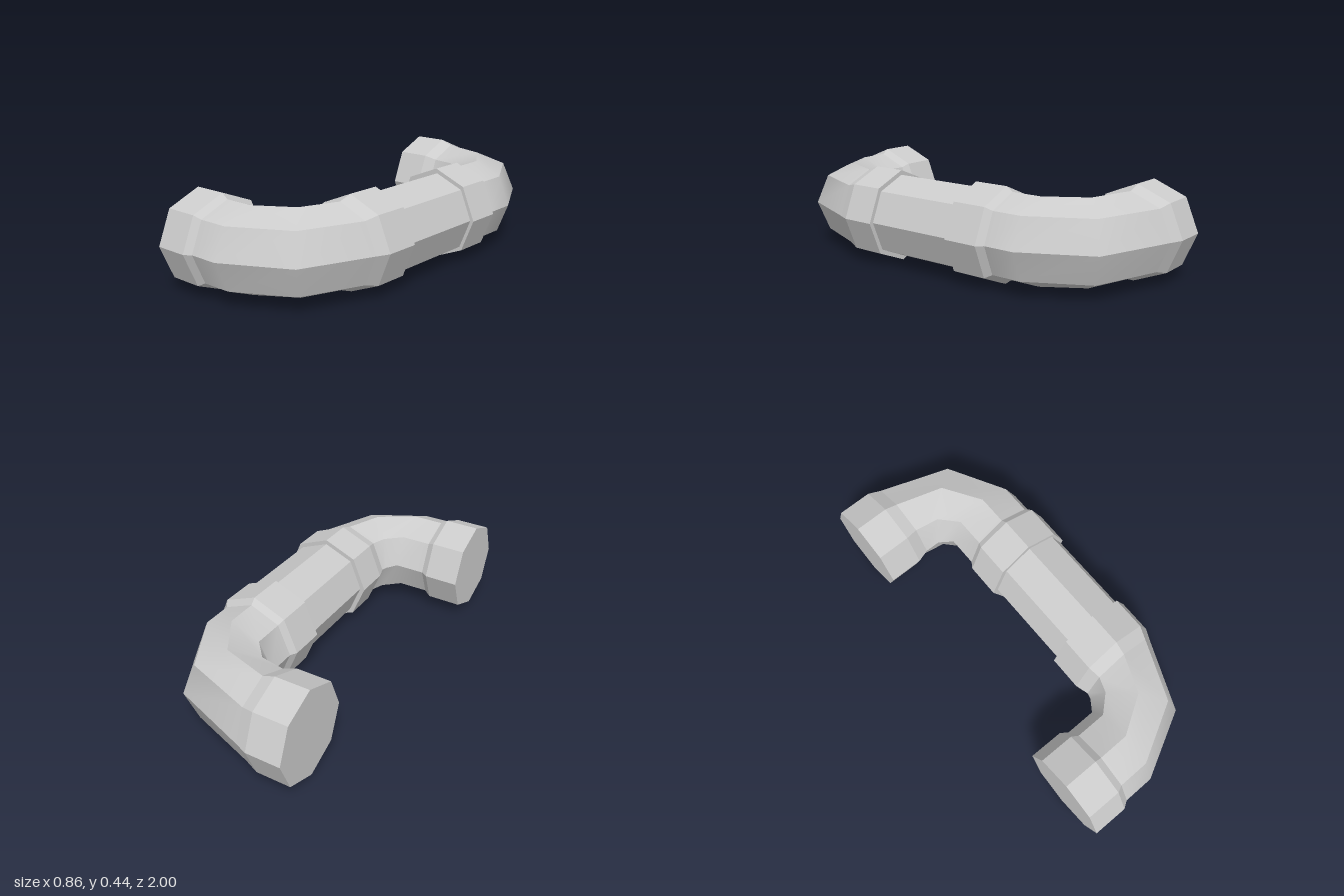
import * as THREE from 'three';
import { mergeGeometries } from 'three/addons/utils/BufferGeometryUtils.js';

const SIDES = 8, MID_Y = 0.2225;
const COLLAR = 0.2225, PIPE = 0.2;

// One octagonal ring: centre x and z, heading in degrees, radius
function ringPoints([x, z, heading, r]) {
  const h = THREE.MathUtils.degToRad(heading);
  return Array.from({ length: SIDES }, (_, k) => {
    const a = (k / SIDES) * Math.PI * 2, out = r * Math.cos(a);
    return [x + out * Math.sin(h), MID_Y + r * Math.sin(a), z + out * Math.cos(h)];
  });
}

function makeGeometry(pos, index) {
  const g = new THREE.BufferGeometry();
  g.setAttribute('position', new THREE.Float32BufferAttribute(pos.flat(), 3));
  g.setIndex(index);
  g.computeVertexNormals();
  return g;
}

// Skin through rings: smooth along the length, sharp between the sides
function skin(rings) {
  const loops = rings.map(ringPoints), pos = [], index = [];
  for (let k = 0; k < SIDES; k++) {
    const base = pos.length;
    loops.forEach((l) => pos.push(l[k], l[(k + 1) % SIDES]));
    for (let i = 0; i < loops.length - 1; i++) {
      const a = base + i * 2;
      index.push(a, a + 2, a + 3, a, a + 3, a + 1);
    }
  }
  return makeGeometry(pos, index);
}

// Flat octagonal end
function cap(ring, isEnd) {
  const index = [];
  for (let k = 1; k < SIDES - 1; k++) index.push(0, ...(isEnd ? [k + 1, k] : [k, k + 1]));
  return makeGeometry(ringPoints(ring), index);
}

// Sections share their end rings; each joint between sections is a sharp edge
function tube(name, sections, material) {
  const parts = sections.map(skin);
  parts.push(cap(sections[0][0], false), cap(sections.at(-1).at(-1), true));
  const mesh = new THREE.Mesh(mergeGeometries(parts), material);
  mesh.name = name;
  return mesh;
}

// Elbow: collar, taper, bend, taper, collar
function elbow(name, r, material) {
  return tube(name, [[r[0], r[1]], [r[1], r[2]], r.slice(2, 6), [r[5], r[6]], [r[6], r[7]]], material);
}

export function createModel() {
  const group = new THREE.Group();
  const material = new THREE.MeshStandardMaterial({ color: 0xcccccc });

  group.add(elbow('frontElbow', [
    [-0.37, 0.775, 2.7, COLLAR],
    [-0.205, 0.767, 2.7, COLLAR],
    [-0.172, 0.766, 2.7, PIPE],
    [-0.027, 0.757, 2.7, PIPE],
    [0.14, 0.642, 45, PIPE],
    [0.203, 0.463, 93, PIPE],
    [0.205, 0.403, 93, COLLAR],
    [0.198, 0.24, 93, COLLAR],
  ], material));

  group.add(tube('straightPipe', [[
    [0.2, 0.26, 92.7, PIPE],
    [0.176, -0.23, 92.7, PIPE],
  ]], material));

  group.add(elbow('backElbow', [
    [0.172, -0.21, 92.7, COLLAR],
    [0.165, -0.378, 92.7, COLLAR],
    [0.16, -0.408, 92.7, PIPE],
    [0.153, -0.553, 92.7, PIPE],
    [0.031, -0.726, 135, PIPE],
    [-0.195, -0.781, 183.5, PIPE],
    [-0.256, -0.78, 183.5, COLLAR],
    [-0.418, -0.771, 183.5, COLLAR],
  ], material));

  return group;
}
